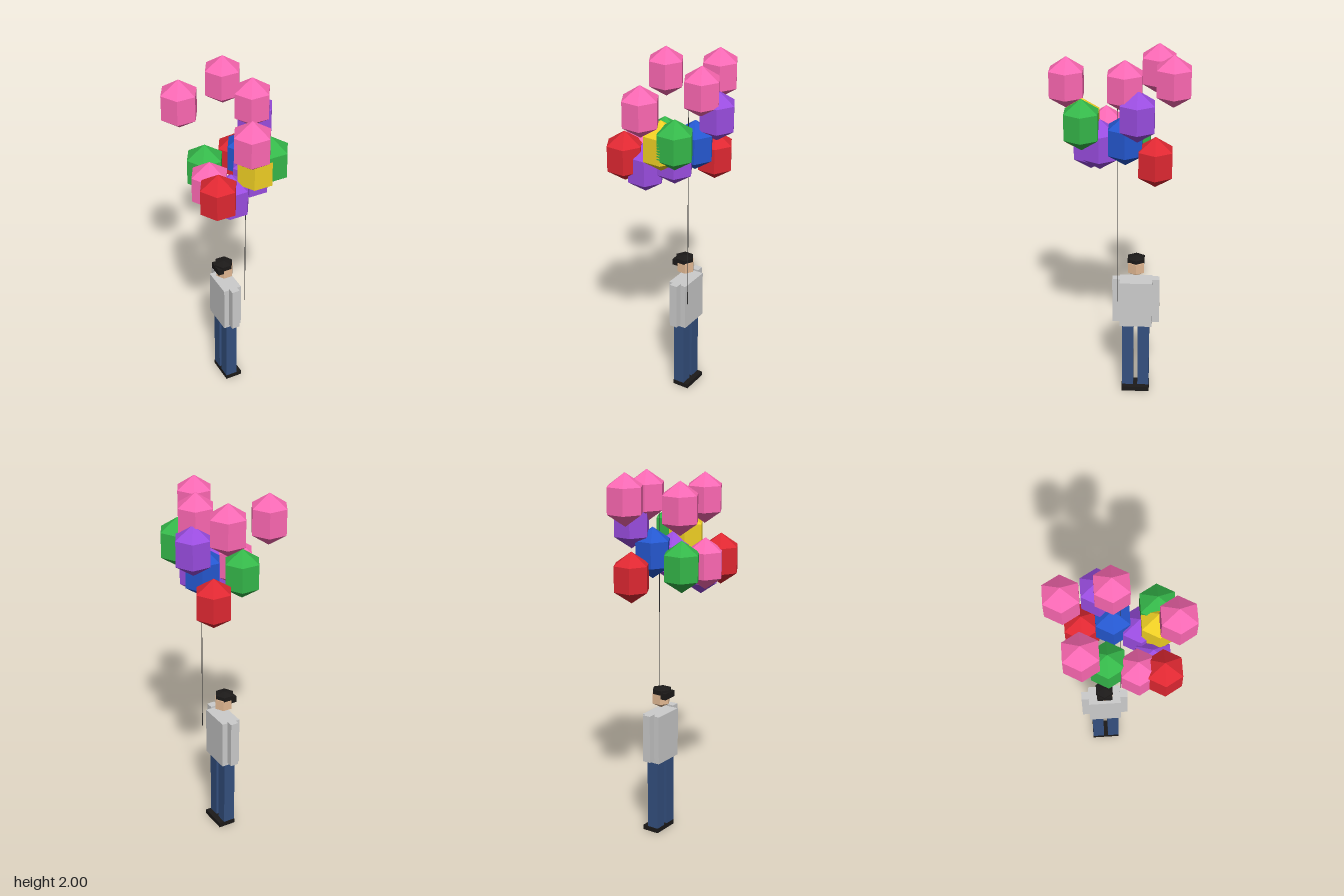
import * as THREE from 'three';

const material = (color) => new THREE.MeshStandardMaterial({ color, flatShading: true });
const shirt = material(0xcccccc), jeans = material(0x34507f), black = material(0x1c1a19);
const skin = material(0xe3b993), cord = material(0x333333);
const pink = material(0xff69b4), red = material(0xe02832), green = material(0x35b84a);
const purple = material(0x9a4de0), blue = material(0x2558d0), yellow = material(0xf0d024);

function add(parent, name, geometry, mat, x, y, z) {
  const mesh = new THREE.Mesh(geometry, mat);
  mesh.name = name;
  mesh.position.set(x, y, z);
  parent.add(mesh);
  return mesh;
}

// Box given by its limits on each axis
function box(parent, name, mat, [x0, x1], [y0, y1], [z0, z1]) {
  return add(parent, name, new THREE.BoxGeometry(x1 - x0, y1 - y0, z1 - z0), mat,
    (x0 + x1) / 2, (y0 + y1) / 2, (z0 + z1) / 2);
}

// Six-sided prism with pointed ends: width radius r, half height h
function hexGem(r, h) {
  const R = r / Math.sin(Math.PI / 3);
  return new THREE.SphereGeometry(R, 6, 3).scale(1, h / R, 1);
}

function createPerson() {
  const person = new THREE.Group();
  person.name = 'person';
  person.position.z = -0.091;

  box(person, 'torso', shirt, [-0.04, 0.065], [0.42, 0.69], [-0.09, 0.09]);
  for (const side of [-1, 1]) {
    const span = (a, b) => [Math.min(side * a, side * b), Math.max(side * a, side * b)];
    box(person, side > 0 ? 'leftArm' : 'rightArm', shirt, [-0.01, 0.035], [0.435, 0.7], span(0.088, 0.13));
    box(person, side > 0 ? 'leftLeg' : 'rightLeg', jeans, [-0.02, 0.045], [0, 0.42], span(0.012, 0.076));
  }
  box(person, 'shoes', black, [-0.021, 0.075], [0.001, 0.027], [-0.078, 0.078]);

  // Head faces +x; the hair caps the top and hangs down the back
  add(person, 'head', hexGem(0.05, 0.058), skin, 0.008, 0.771, 0);
  add(person, 'hairCap', hexGem(0.053, 0.025), black, 0.002, 0.81, 0);
  box(person, 'hairBack', black, [-0.05, -0.018], [0.775, 0.81], [-0.042, 0.042]);
  return person;
}

function createBalloons() {
  const balloons = new THREE.Group();
  balloons.name = 'balloons';
  const geometry = hexGem(0.1, 0.139);
  const list = [
    [pink, -0.19, 1.834, -0.2], [pink, 0.095, 1.861, -0.277], [pink, 0.138, 1.845, -0.033],
    [pink, -0.025, 1.808, 0.275], [pink, -0.16, 1.5, 0.077],
    [red, 0.125, 1.436, -0.19], [red, -0.175, 1.506, 0.205],
    [purple, 0.19, 1.707, -0.098], [purple, 0.062, 1.505, 0.1], [purple, -0.08, 1.449, 0.157],
    [green, -0.113, 1.502, -0.073], [green, 0.122, 1.633, 0.19],
    [blue, 0.1, 1.545, -0.034], [yellow, 0.04, 1.609, 0.19],
  ];
  list.forEach(([mat, x, y, z], i) => add(balloons, `balloon${i + 1}`, geometry, mat, x, y, z));
  return balloons;
}

export function createModel() {
  const model = new THREE.Group();
  model.name = 'balloonSeller';
  model.add(createPerson(), createBalloons());
  // Single string rising into the bunch
  add(model, 'string', new THREE.CylinderGeometry(0.002, 0.002, 1.18, 6), cord, 0.085, 1.18, 0.006);
  return model;
}
